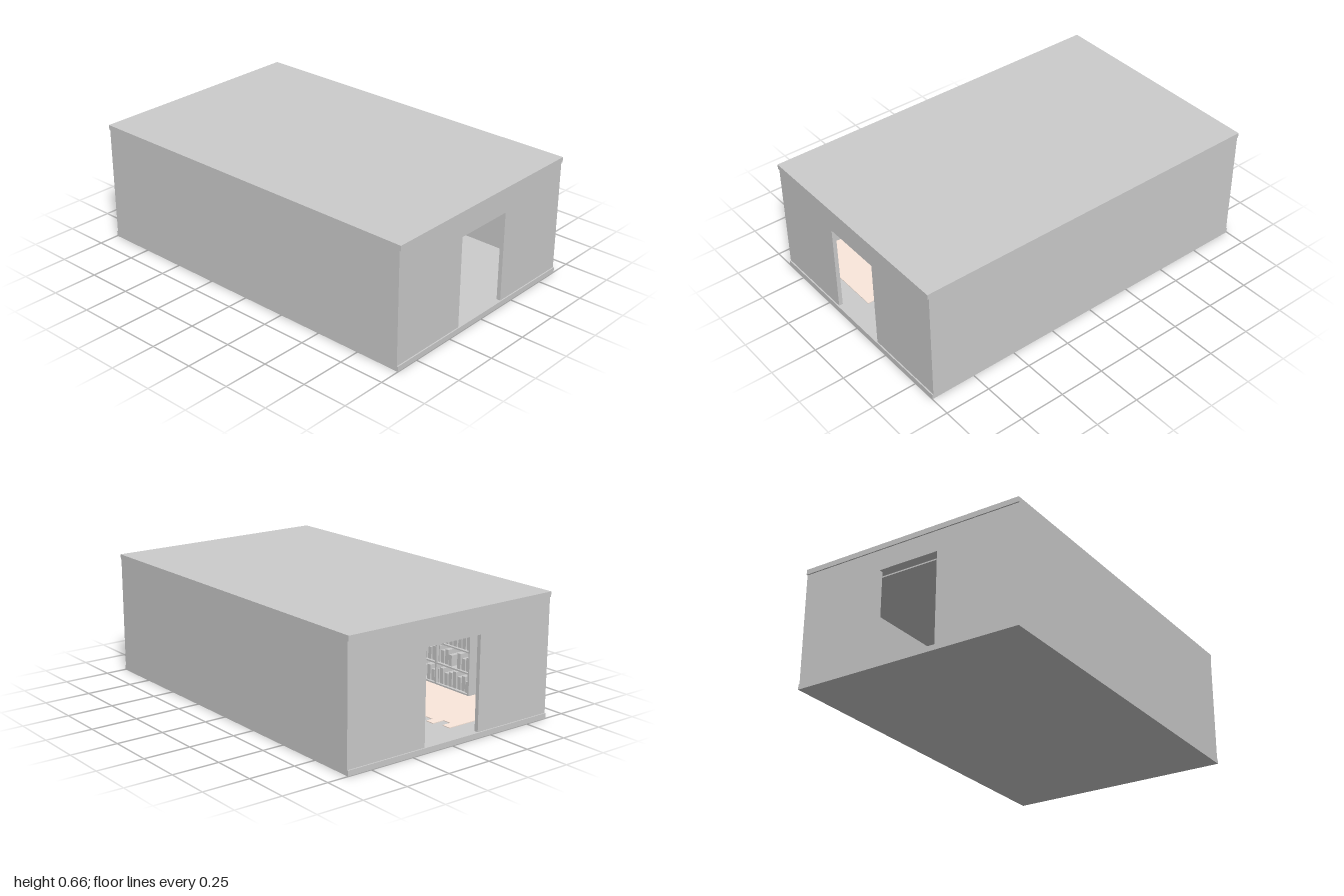
import * as THREE from 'three';

const W = 1.27, H = 0.66, L = 2, SLAB = 0.028, WALL = 0.022;

export function createModel() {
  const model = new THREE.Group();
  const grey = new THREE.MeshStandardMaterial({ color: 0xcccccc });
  const beige = new THREE.MeshStandardMaterial({ color: 0xfbe8dc });

  // Box given by its lower and upper corners
  const box = (name, parent, a, b, material = grey) => {
    const mesh = new THREE.Mesh(new THREE.BoxGeometry(b[0] - a[0], b[1] - a[1], b[2] - a[2]), material);
    mesh.position.set((a[0] + b[0]) / 2, (a[1] + b[1]) / 2, (a[2] + b[2]) / 2);
    mesh.name = name;
    parent.add(mesh);
    return mesh;
  };

  // Floor and roof slabs, overhanging the end walls slightly
  box('floorSlab', model, [-W / 2, 0, -L / 2], [W / 2, SLAB, L / 2]);
  box('roofSlab', model, [-W / 2, H - SLAB, -L / 2], [W / 2, H, L / 2]);

  // Long side walls
  for (const s of [-1, 1]) {
    const x = s * (W / 2 - WALL / 2);
    box(s > 0 ? 'leftWall' : 'rightWall', model,
      [x - WALL / 2, SLAB, -0.993], [x + WALL / 2, H - SLAB, 0.993]);
  }

  // End walls with a doorway open to the floor
  const half = W / 2 - WALL, top = H - SLAB;
  const outline = new THREE.Shape([
    [-half, SLAB], [-0.172, SLAB], [-0.172, 0.52], [0.17, 0.52],
    [0.17, SLAB], [half, SLAB], [half, top], [-half, top],
  ].map(([x, y]) => new THREE.Vector2(x, y)));
  const wallGeometry = new THREE.ExtrudeGeometry(outline, { depth: WALL, bevelEnabled: false });
  for (const [name, z] of [['frontWall', 0.993 - WALL], ['backWall', -0.993]]) {
    const wall = new THREE.Mesh(wallGeometry, grey);
    wall.name = name;
    wall.position.z = z;
    model.add(wall);
  }

  // Partly laid plank floor with a staggered edge
  const planks = new THREE.Group();
  planks.name = 'plankFloor';
  model.add(planks);
  const ends = [-0.09, -0.06, -0.12, -0.08, -0.15, -0.1];
  const rows = 36, step = 1.74 / rows;
  for (let i = 0; i < rows; i++) {
    const z = 0.87 - (i + 1) * step;
    box('plank', planks, [-half, SLAB, z], [ends[i % ends.length], SLAB + 0.004, z + step], beige);
  }

  // Shelving with upright volumes along the side wall
  const shelving = new THREE.Group();
  shelving.name = 'shelving';
  model.add(shelving);
  const z0 = -0.58, z1 = 0.44, back = -half, front = -0.5, base = SLAB + 0.004, tier = 0.115;
  for (let i = 0; i <= 4; i++) {
    const y = base + i * tier;
    box('shelf', shelving, [back, y, z0], [front, y + 0.008, z1]);
  }
  for (let i = 0; i <= 4; i++) {
    const z = z0 + (i * (z1 - z0 - 0.01)) / 4;
    box('shelfUpright', shelving, [back, base, z], [front, base + 4 * tier, z + 0.01]);
  }
  for (let t = 0; t < 4; t++) {
    for (let i = 0; i < 30; i++) {
      const k = (i * 7 + t * 5) % 11;
      if (k === 4) continue;
      const z = z0 + 0.015 + i * 0.033, y = base + t * tier + 0.008;
      box('volume', shelving, [back, y, z], [front - 0.012 - 0.002 * (k % 4), y + 0.06 + 0.003 * k, z + 0.024]);
    }
  }

  // Low pedestal in the middle of the room
  box('pedestal', model, [-0.04, SLAB, -0.04], [0.04, 0.15, 0.04]);

  // Shallow ceiling panels
  for (const s of [-1, 1]) {
    box('ceilingPanel', model, [-0.48, top - 0.008, s * 0.665 - 0.115], [0.48, top, s * 0.665 + 0.115]);
  }
  return model;
}
